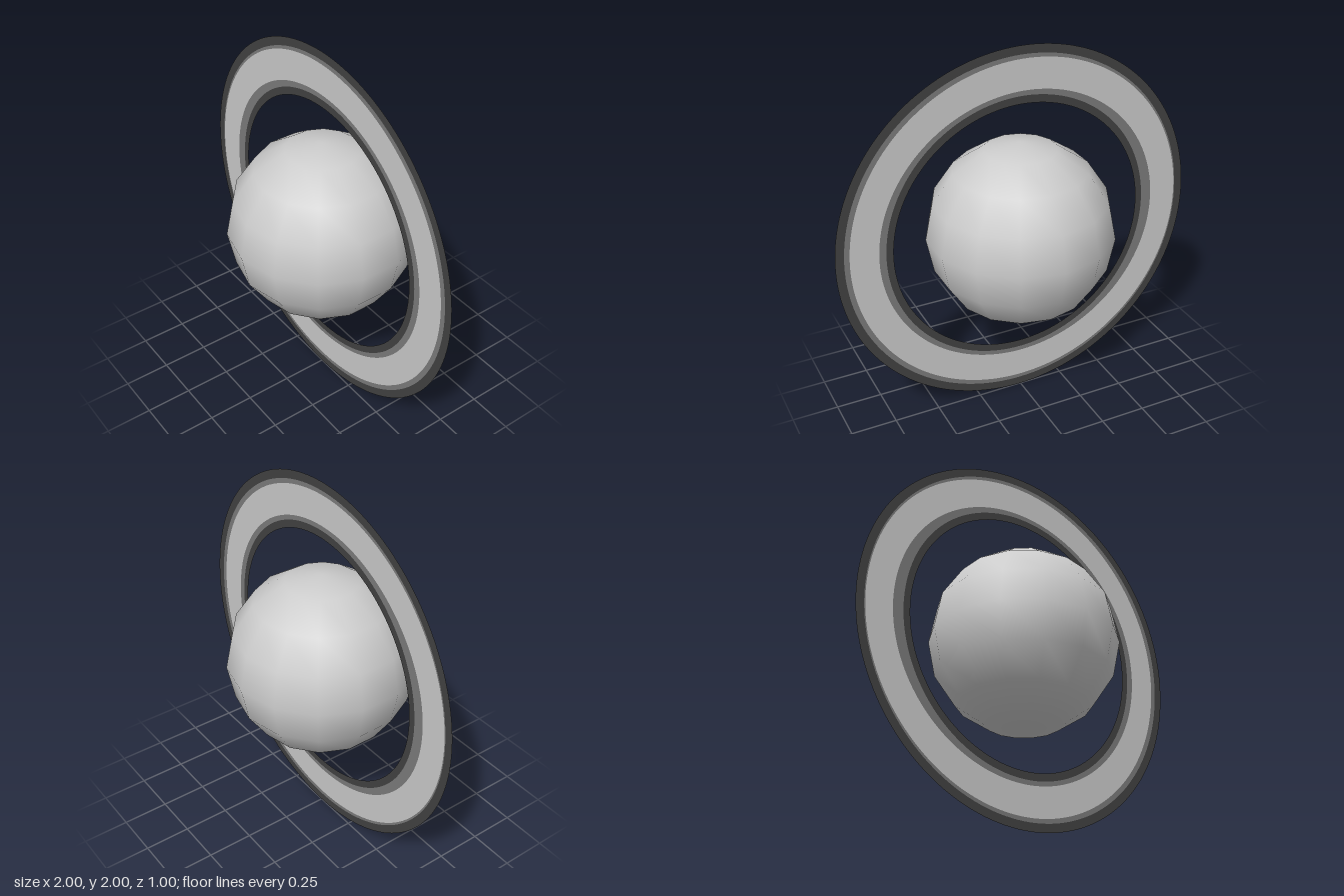
import * as THREE from 'three';

const material = (name, color, side = THREE.FrontSide) => {
  const m = new THREE.MeshStandardMaterial({ color, side });
  m.name = name;
  return m;
};

// Flat band between two ellipses, each given as [centreX, radiusX, radiusY]
function band(name, outer, inner, mat) {
  const shape = new THREE.Shape();
  shape.absellipse(outer[0], 0, outer[1], outer[2], 0, Math.PI * 2, false);
  const hole = new THREE.Path();
  hole.absellipse(inner[0], 0, inner[1], inner[2], 0, Math.PI * 2, true);
  shape.holes.push(hole);
  const mesh = new THREE.Mesh(new THREE.ShapeGeometry(shape, 80), mat);
  mesh.name = name;
  return mesh;
}

export function createModel() {
  const model = new THREE.Group();
  model.name = 'ringedPlanet';

  const planetGrey = material('planet grey', 0xcccccc);
  const lightGrey = material('light ring grey', 0xcacaca, THREE.DoubleSide);
  const midGrey = material('middle ring grey', 0x7b7b7b, THREE.DoubleSide);
  const darkGrey = material('dark ring grey', 0x424242, THREE.DoubleSide);

  // Smooth-shaded planet with few sides, a vertex facing front and back
  const planet = new THREE.Mesh(new THREE.SphereGeometry(0.5, 14, 8).rotateY(Math.PI / 2), planetGrey);
  planet.name = 'planet';
  model.add(planet);

  // Upright paper-thin ring; the light band sits slightly off centre
  const edges = [
    [0, 1, 1],
    [0, 0.954, 0.954],
    [-0.011, 0.937, 0.932],
    [-0.011, 0.786, 0.768],
    [0, 0.738, 0.742],
    [0, 0.7, 0.7],
  ];
  const bands = [
    ['outerRim', darkGrey],
    ['outerBand', midGrey],
    ['mainBand', lightGrey],
    ['innerBand', midGrey],
    ['innerRim', darkGrey],
  ];
  const ring = new THREE.Group();
  ring.name = 'ring';
  bands.forEach(([name, mat], i) => ring.add(band(name, edges[i], edges[i + 1], mat)));
  model.add(ring);

  model.children.forEach((part) => { part.position.y = 1; });
  return model;
}
